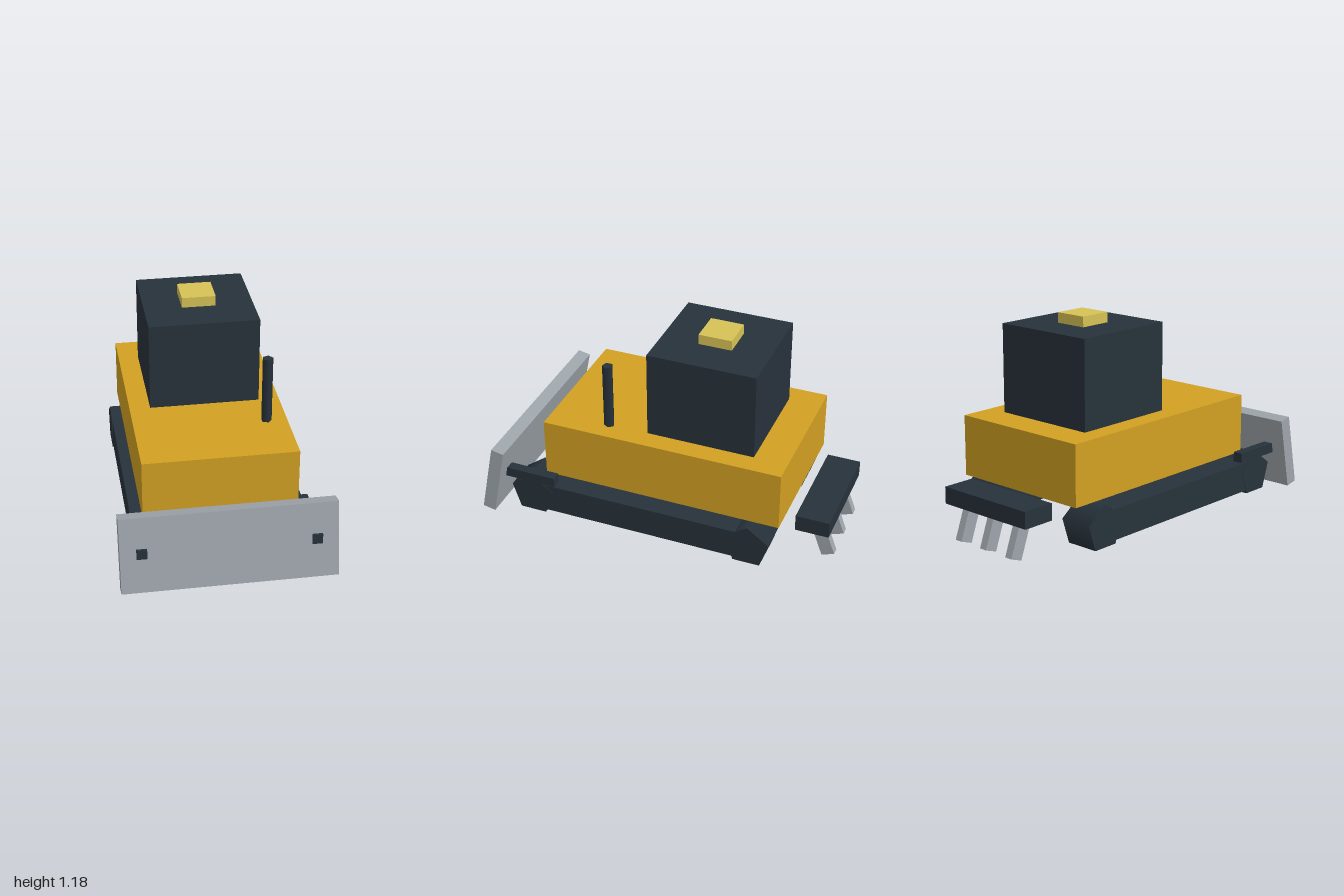
import * as THREE from 'three';

const paint = (name, color) => {
  const m = new THREE.MeshStandardMaterial({ color });
  m.name = name;
  return m;
};

export function createModel() {
  const model = new THREE.Group();
  model.name = 'bulldozer';

  const yellow = paint('yellow paint', 0xd2a123);
  const dark = paint('dark steel', 0x27323b);
  const grey = paint('bare steel', 0x9da4aa);
  const amber = paint('beacon yellow', 0xd6c255);

  const add = (name, geometry, material, x, y, z) => {
    const mesh = new THREE.Mesh(geometry, material);
    mesh.name = name;
    mesh.position.set(x, y, z);
    model.add(mesh);
    return mesh;
  };
  const box = (name, material, w, h, d, x, y, z) =>
    add(name, new THREE.BoxGeometry(w, h, d), material, x, y, z);

  // Hull, cab and roof beacon
  box('body', yellow, 0.845, 0.342, 1.386, 0, 0.46, -0.038);
  box('cab', dark, 0.614, 0.5, 0.618, 0, 0.881, -0.231);
  box('beacon', amber, 0.19, 0.058, 0.19, 0, 1.16, -0.232);

  // Five-sided exhaust stack, one corner towards the side
  const stack = new THREE.CylinderGeometry(0.03, 0.03, 0.39, 5).rotateY(Math.PI / 2);
  add('exhaust', stack, dark, 0.307, 0.82, 0.306);

  // Tracks: a bar between two five-sided wheels, with a blade arm above each
  const wheel = new THREE.CylinderGeometry(0.132, 0.132, 0.192, 5)
    .rotateZ(Math.PI / 2)
    .rotateX(-Math.PI / 2);
  for (const [side, s] of [['left', 1], ['right', -1]]) {
    box(side + 'Track', dark, 0.186, 0.172, 1.295, s * 0.385, 0.15, 0.078);
    add(side + 'FrontWheel', wheel, dark, s * 0.385, 0.153, 0.725);
    add(side + 'RearWheel', wheel, dark, s * 0.385, 0.153, -0.57);
    box(side + 'BladeArm', dark, 0.056, 0.057, 0.384, s * 0.462, 0.277, 0.77);
  }

  // Front blade, leaning back at the top
  box('blade', grey, 1.154, 0.42, 0.075, 0, 0.262, 0.92).rotation.x = -0.2;

  // Rear ripper beam with three slanted teeth
  box('ripperBeam', dark, 0.614, 0.095, 0.192, 0, 0.258, -0.886);
  for (const x of [-0.193, 0, 0.193]) {
    box('ripperTooth', grey, 0.046, 0.25, 0.076, x, 0.135, -0.919).rotation.x = 0.35;
  }

  return model;
}
